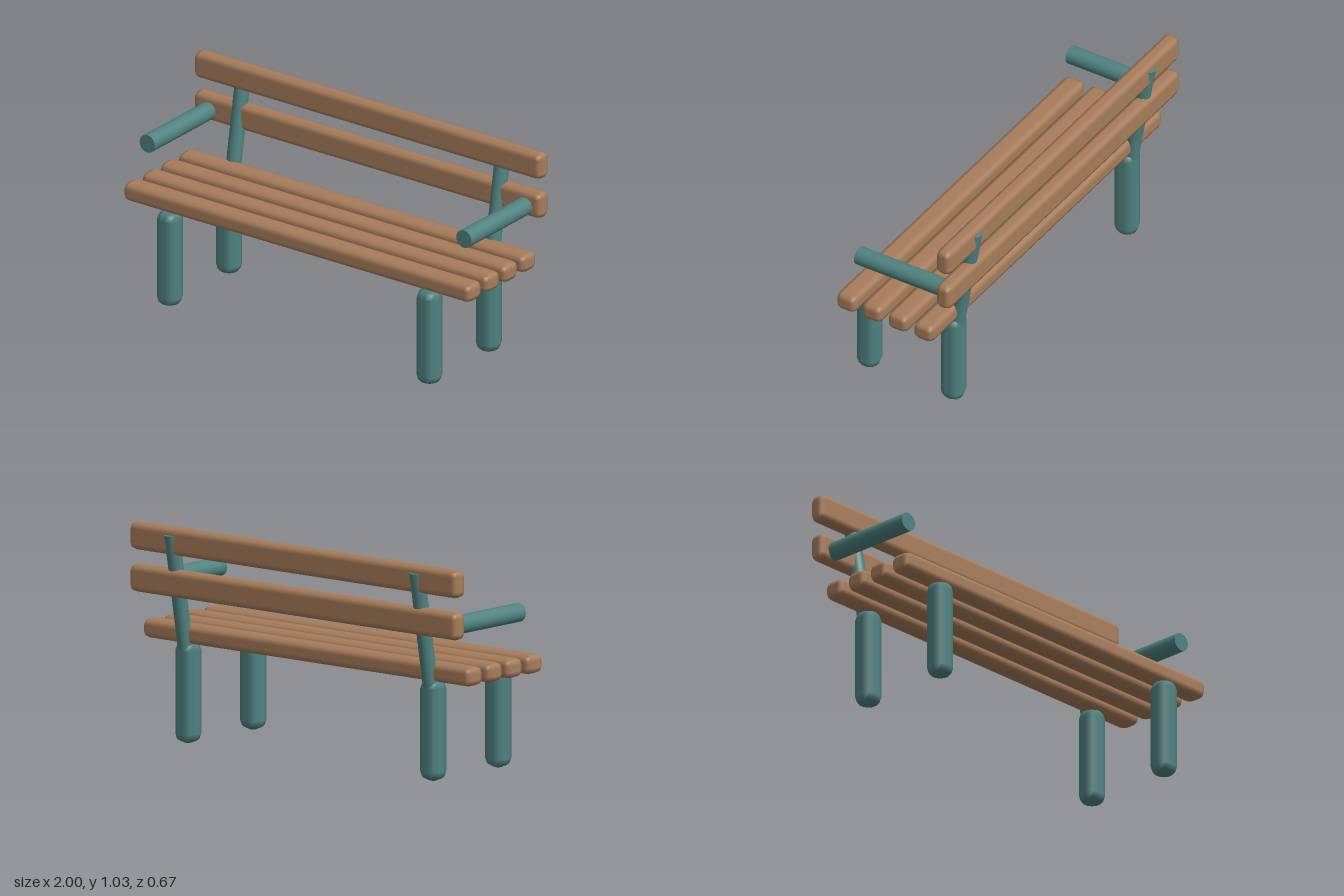
import * as THREE from 'three';
import { RoundedBoxGeometry } from 'three/addons/geometries/RoundedBoxGeometry.js';

export function createModel() {
  const bench = new THREE.Group();
  bench.name = 'bench';
  const wood = new THREE.MeshStandardMaterial({ color: 0xa87d5b });
  const metal = new THREE.MeshStandardMaterial({ color: 0x4f8280 });

  const add = (name, geometry, material, x, y, z) => {
    const mesh = new THREE.Mesh(geometry, material);
    mesh.name = name;
    mesh.position.set(x, y, z);
    bench.add(mesh);
    return mesh;
  };

  // Seat slats, evenly spaced front to back
  const seatSlat = new RoundedBoxGeometry(2, 0.09, 0.108, 1, 0.03);
  for (let i = 0; i < 4; i++) {
    add('seatSlat', seatSlat, wood, 0, 0.514, 0.258 - i * 0.141);
  }

  // Backrest slats
  const backSlat = new RoundedBoxGeometry(2, 0.13, 0.08, 1, 0.03);
  for (const y of [0.764, 0.962]) add('backSlat', backSlat, wood, 0, y, -0.275);

  const leg = new RoundedBoxGeometry(0.112, 0.48, 0.112, 1, 0.045);
  const lean = Math.atan(0.176);
  const upright = new THREE.CylinderGeometry(0.036, 0.036, 0.6, 24);
  const armrest = new THREE.CylinderGeometry(0.044, 0.044, 0.48, 24).rotateX(Math.PI / 2);

  for (const side of [-1, 1]) {
    // Front and back legs
    add('frontLeg', leg, metal, side * 0.748, 0.24, 0.28);
    add('backLeg', leg, metal, side * 0.748, 0.24, -0.18);

    // Leaning upright carrying the backrest
    add('backUpright', upright, metal, side * 0.748, 0.7, -0.244).rotation.x = -lean;

    // Armrest running forward from the lower back slat
    add('armrest', armrest, metal, side * 0.912, 0.753, -0.005);
  }

  return bench;
}
